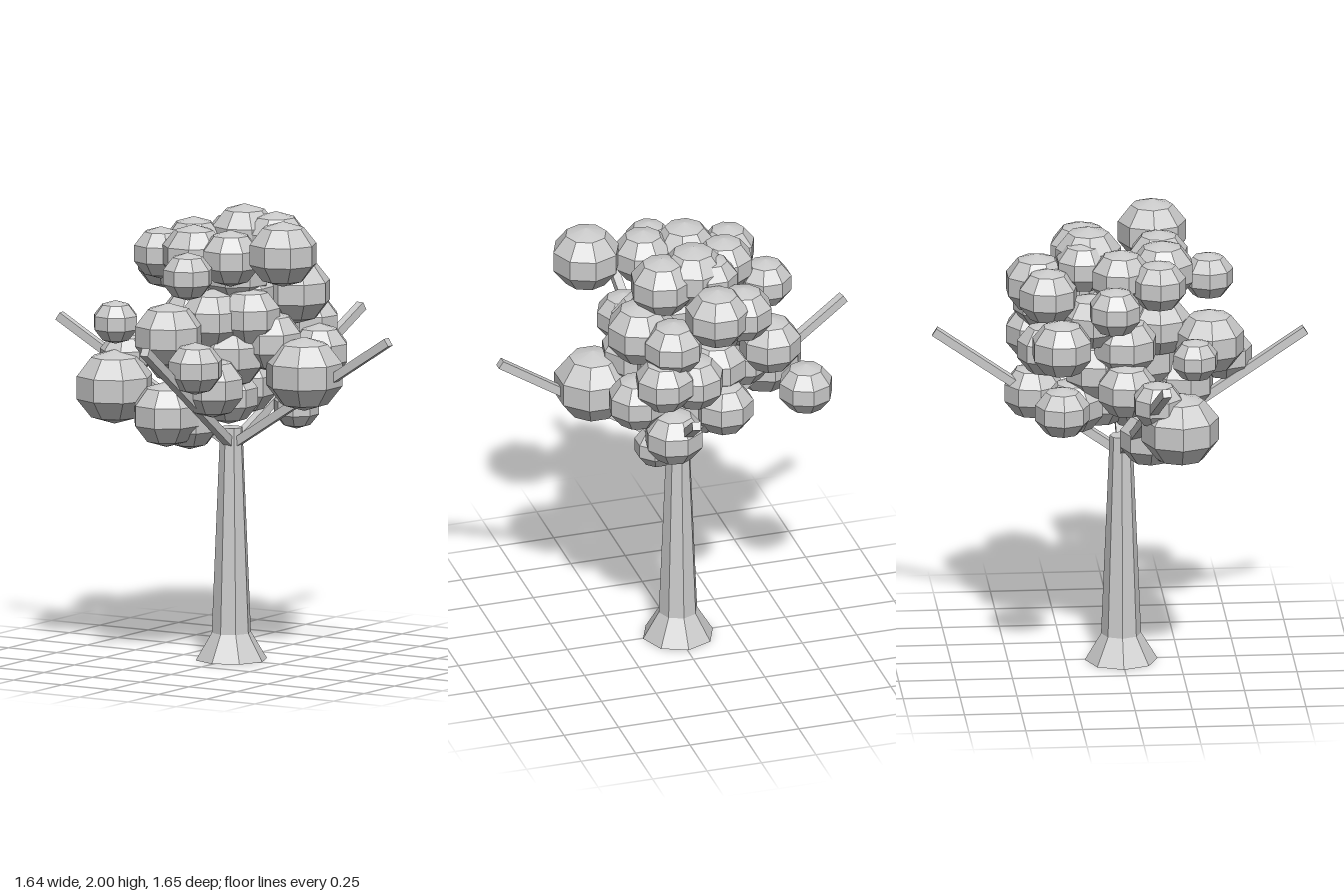
import * as THREE from 'three';
import { toCreasedNormals } from 'three/addons/utils/BufferGeometryUtils.js';

const grey = new THREE.MeshStandardMaterial({ color: 0xcccccc });
grey.name = 'lightGrey';

function add(parent, geometry, name) {
  const mesh = new THREE.Mesh(geometry, grey);
  mesh.name = name;
  parent.add(mesh);
  return mesh;
}

// Leaf clusters, row by row: x, y, z, radius
const crown = [
  [0.365, 1.85, 0.16, 0.15], [0.1, 1.81, 0.17, 0.13], [-0.09, 1.81, 0.17, 0.14],
  [-0.28, 1.8, 0.14, 0.12], [-0.21, 1.82, -0.02, 0.13], [-0.39, 1.72, -0.06, 0.115],
  [-0.03, 1.86, -0.15, 0.145], [0.12, 1.84, -0.17, 0.14], [-0.07, 1.76, -0.38, 0.14],
  [0.01, 1.75, 0.38, 0.11], [0.05, 1.72, 0.04, 0.14], [-0.1, 1.84, -0.18, 0.12],
];
const middle = [
  [-0.09, 1.48, 0.38, 0.15], [-0.42, 1.5, 0.29, 0.1], [0.13, 1.54, 0.07, 0.14],
  [0.22, 1.63, -0.18, 0.15], [-0.2, 1.74, -0.34, 0.13], [-0.34, 1.54, -0.29, 0.135],
  [0.12, 1.62, -0.34, 0.13], [-0.2, 1.5, 0, 0.14], [0.05, 1.62, 0, 0.15],
  [-0.2, 1.62, -0.15, 0.13], [0.17, 1.46, -0.37, 0.13], [0.08, 1.45, -0.12, 0.15],
  [0, 1.53, 0.16, 0.14], [0.2, 1.43, 0, 0.14],
];
const lower = [
  [-0.47, 1.2, 0.22, 0.17], [-0.2, 1.1, 0.22, 0.15], [0.38, 1.3, 0.01, 0.17],
  [0.1, 1.36, 0.46, 0.12], [0.07, 1.25, 0.27, 0.14], [-0.48, 1.32, 0.12, 0.11],
  [-0.5, 1.3, -0.3, 0.12], [0.13, 1.2, -0.38, 0.13], [-0.15, 1.22, -0.22, 0.13],
  [0.02, 1.43, -0.33, 0.13], [0.27, 1.35, -0.29, 0.13], [0.17, 1.1, -0.26, 0.1],
  [-0.15, 1.06, 0.11, 0.13], [-0.3, 1.33, 0, 0.13], [0, 1.21, -0.1, 0.14],
  [0.06, 1.37, 0.1, 0.15], [-0.14, 1.38, -0.12, 0.14], [0.02, 1.18, 0.06, 0.13],
];

// Branch tips
const tips = [[0.81, 1.475, 0], [-0.81, 1.475, 0.135], [0.16, 1.475, -0.81], [0.06, 1.475, 0.81]];

export function createModel() {
  const tree = new THREE.Group();
  tree.name = 'tree';

  // Eight-sided trunk with a flared foot
  const profile = [[0, 0], [0.16, 0], [0.088, 0.12], [0.05, 1.03], [0, 1.03]]
    .map(([r, y]) => new THREE.Vector2(r, y));
  const trunk = add(tree, toCreasedNormals(new THREE.LatheGeometry(profile, 8), 0.2), 'trunk');
  trunk.position.set(-0.006, 0, -0.004);

  // Square branches rising from the trunk top
  const start = new THREE.Vector3(0, 0.95, 0);
  for (const tip of tips) {
    const end = new THREE.Vector3(...tip);
    const branch = add(tree, new THREE.BoxGeometry(0.038, 0.038, start.distanceTo(end)), 'branch');
    branch.position.copy(start).lerp(end, 0.5);
    branch.lookAt(end);
  }

  // Faceted, slightly flattened leaf clusters
  const ball = toCreasedNormals(new THREE.SphereGeometry(1.05, 8, 5), 0.5);
  const rows = { crownLeaves: crown, middleLeaves: middle, lowerLeaves: lower };
  for (const [name, list] of Object.entries(rows)) {
    const group = new THREE.Group();
    group.name = name;
    tree.add(group);
    list.forEach(([x, y, z, r], i) => {
      const cluster = add(group, ball, 'leafCluster');
      cluster.position.set(x, y, z);
      cluster.scale.set(r, r * 0.92, r);
      cluster.rotation.y = (i % 3) * 0.2;
    });
  }
  return tree;
}
